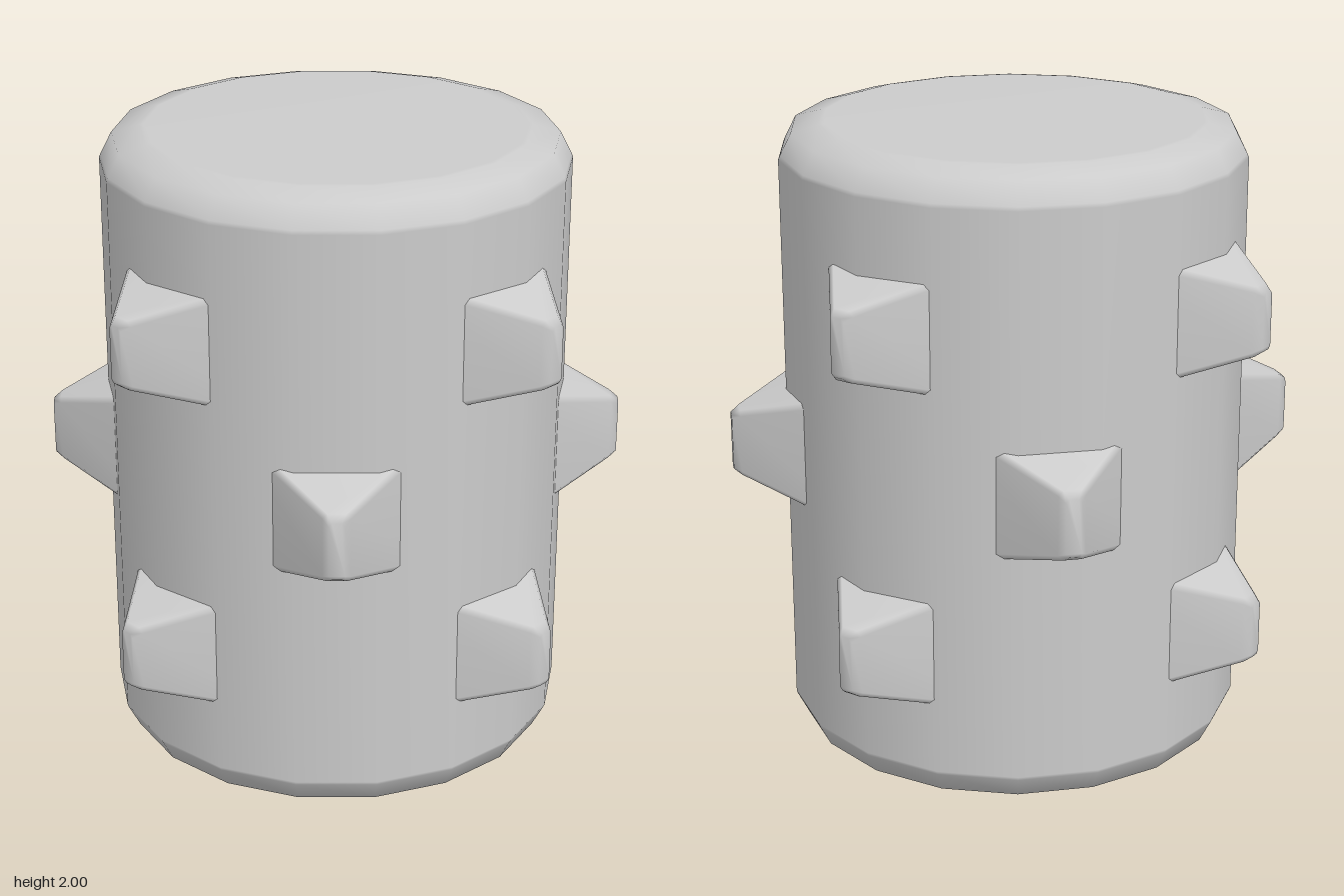
import * as THREE from 'three';

const material = new THREE.MeshStandardMaterial({ color: 0xcccccc });

// Drum profile: flat ends with a soft bevel; support points keep walls and caps crisp
function drumGeometry() {
  const half = [[0, 0], [0.585, 0], [0.6, 0.002], [0.685, 0.025], [0.72, 0.093], [0.725, 0.105]];
  const profile = [
    ...half.map(([r, y]) => new THREE.Vector2(r, y)),
    ...half.slice().reverse().map(([r, y]) => new THREE.Vector2(r, 2 - y)),
  ];
  return new THREE.LatheGeometry(profile, 18, Math.PI / 2);
}

// Wedge-shaped stud pointing along +z, lofted from chamfered rectangles
function studGeometry() {
  // distance from axis, half width, half height, corner chamfer
  const sections = [
    [0.58, 0.277, 0.208, 0.018],
    [0.875, 0.042, 0.108, 0.015],
    [0.9, 0.024, 0.09, 0.01],
  ];
  const positions = [];
  const index = [];
  for (const [z, w, h, c] of sections) {
    const ring = [
      [w, c - h], [w, h - c], [w - c, h], [c - w, h],
      [-w, h - c], [-w, c - h], [c - w, -h], [w - c, -h],
    ];
    for (const [x, y] of ring) positions.push(x, y, z);
  }
  for (let s = 0; s < sections.length - 1; s++) {
    for (let i = 0; i < 8; i++) {
      const a = s * 8 + i;
      const b = s * 8 + (i + 1) % 8;
      index.push(a, b, b + 8, a, b + 8, a + 8);
    }
  }
  // blunt tip
  const last = (sections.length - 1) * 8;
  for (let i = 1; i < 7; i++) index.push(last, last + i, last + i + 1);

  const geometry = new THREE.BufferGeometry();
  geometry.setAttribute('position', new THREE.Float32BufferAttribute(positions, 3));
  geometry.setIndex(index);
  geometry.computeVertexNormals();
  return geometry;
}

export function createModel() {
  const model = new THREE.Group();
  model.name = 'studdedDrum';

  const drum = new THREE.Mesh(drumGeometry(), material);
  drum.name = 'drum';
  model.add(drum);

  // Middle row faces the axes; upper and lower rows sit on the diagonals
  const studs = new THREE.Group();
  studs.name = 'studs';
  const geometry = studGeometry();
  const rows = [['lowerStud', 0.5, Math.PI / 4], ['middleStud', 1, 0], ['upperStud', 1.5, Math.PI / 4]];
  for (const [name, y, offset] of rows) {
    for (let i = 0; i < 4; i++) {
      const stud = new THREE.Mesh(geometry, material);
      stud.name = name;
      stud.position.y = y;
      stud.rotation.y = offset + i * Math.PI / 2;
      studs.add(stud);
    }
  }
  model.add(studs);
  return model;
}
